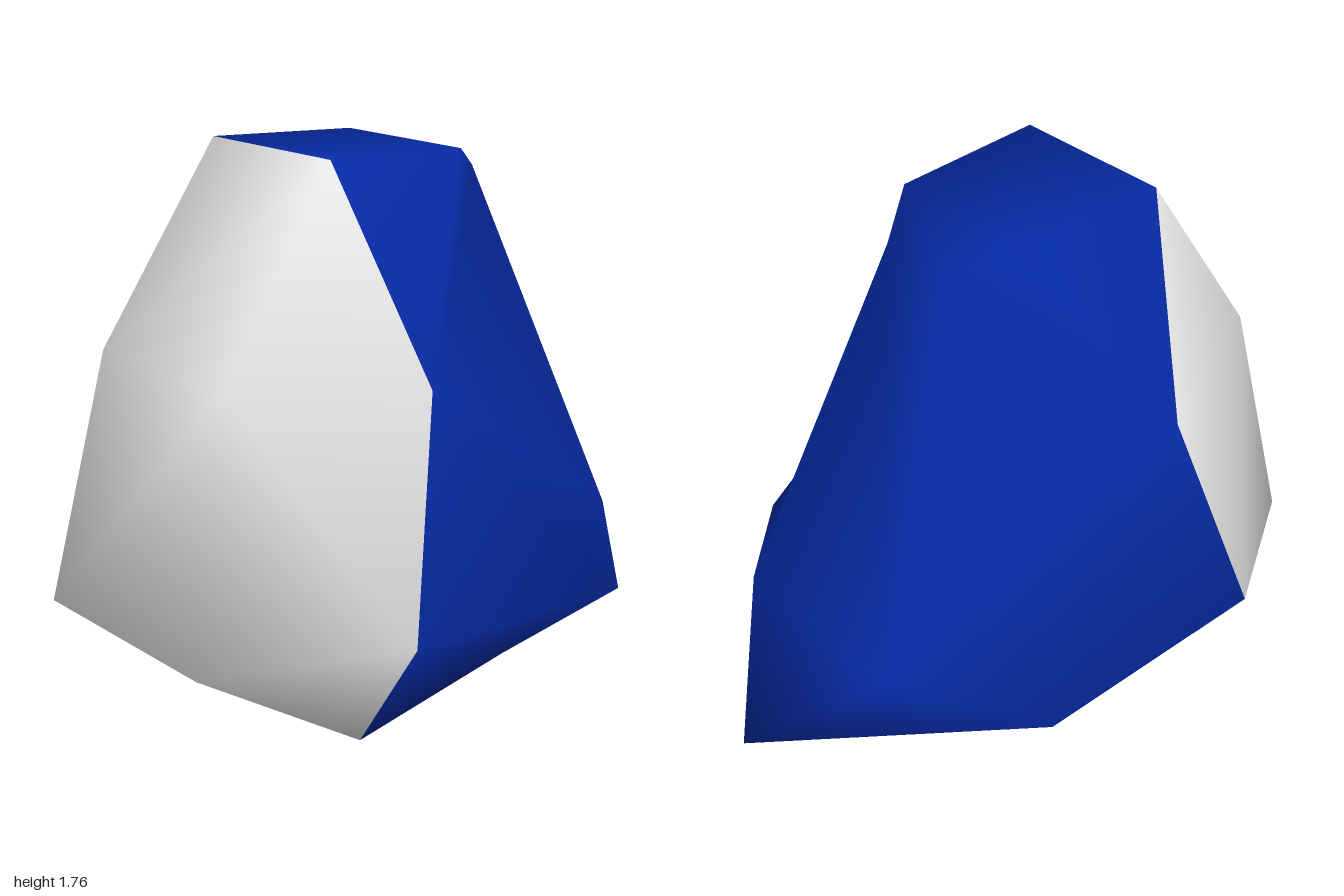
import * as THREE from 'three';

// Corner points of the +x half; those off the centre line are mirrored
const POINTS = {
  topFront: [0.28, 1.76, 0.42], topBack: [0.26, 1.735, -0.1], nape: [0.13, 1.65, -0.27],
  waist: [0.56, 1.12, 0.28], hip: [0.725, 0.43, 0.48], flank: [0.725, 0.39, -0.36],
  rump: [0.34, 0.49, -0.7], tail: [0, 0.19, -1], keel: [0, 0, -0.51],
  foot: [0.4, 0, 0.42], underside: [0.45, 0.14, -0.13],
  chest: [0.3, 1.16, 0.83], belly: [0.38, 0.37, 1.0],
};

// Strips that cross the centre line, and triangles on each side
const FRONT = {
  strips: [['topFront', 'chest'], ['chest', 'belly'], ['belly', 'foot']],
  sides: ['topFront chest waist', 'waist chest hip', 'chest belly hip', 'belly foot hip'],
};
const BACK = {
  strips: [['topFront', 'topBack'], ['topBack', 'nape'], ['nape', 'rump'], ['rump', 'tail'], ['foot', 'keel']],
  sides: ['topFront waist topBack', 'topBack waist nape', 'nape waist rump', 'waist hip flank',
    'waist flank rump', 'rump flank tail', 'flank keel tail', 'hip underside flank',
    'hip foot underside', 'foot keel underside', 'underside keel flank'],
};

function buildShell() {
  const verts = [], lookup = {};
  for (const [name, [x, y, z]] of Object.entries(POINTS)) {
    lookup[name + 1] = verts.push(new THREE.Vector3(x, y, z)) - 1;
    lookup[name + -1] = x === 0 ? lookup[name + 1] : verts.push(new THREE.Vector3(-x, y, z)) - 1;
  }
  const centre = new THREE.Vector3(0, 0.7, 0.1);
  const index = [];

  // Adds a triangle turned to face away from the centre
  const addTriangle = (a, b, c) => {
    if (a === b || b === c || a === c) return;
    const n = verts[b].clone().sub(verts[a]).cross(verts[c].clone().sub(verts[a]));
    if (n.dot(verts[a].clone().sub(centre)) > 0) index.push(a, b, c);
    else index.push(a, c, b);
  };

  const geometry = new THREE.BufferGeometry().setFromPoints(verts);
  [FRONT, BACK].forEach(({ strips, sides }, material) => {
    const start = index.length;
    for (const [p, q] of strips) {
      addTriangle(lookup[p + 1], lookup[p + -1], lookup[q + -1]);
      addTriangle(lookup[p + 1], lookup[q + -1], lookup[q + 1]);
    }
    for (const side of [1, -1]) {
      for (const tri of sides) addTriangle(...tri.split(' ').map((n) => lookup[n + side]));
    }
    geometry.addGroup(start, index.length - start, material);
  });
  geometry.setIndex(index);
  geometry.computeVertexNormals(); // smooth across the colour border
  return geometry;
}

export function createModel() {
  const white = new THREE.MeshStandardMaterial({ color: 0xe6e6e6 });
  white.name = 'white';
  const blue = new THREE.MeshStandardMaterial({ color: 0x062aa4 });
  blue.name = 'blue';

  // One faceted body: white front, blue back and tail
  const body = new THREE.Mesh(buildShell(), [white, blue]);
  body.name = 'body';
  const group = new THREE.Group();
  group.name = 'facetedBody';
  group.add(body);
  return group;
}
